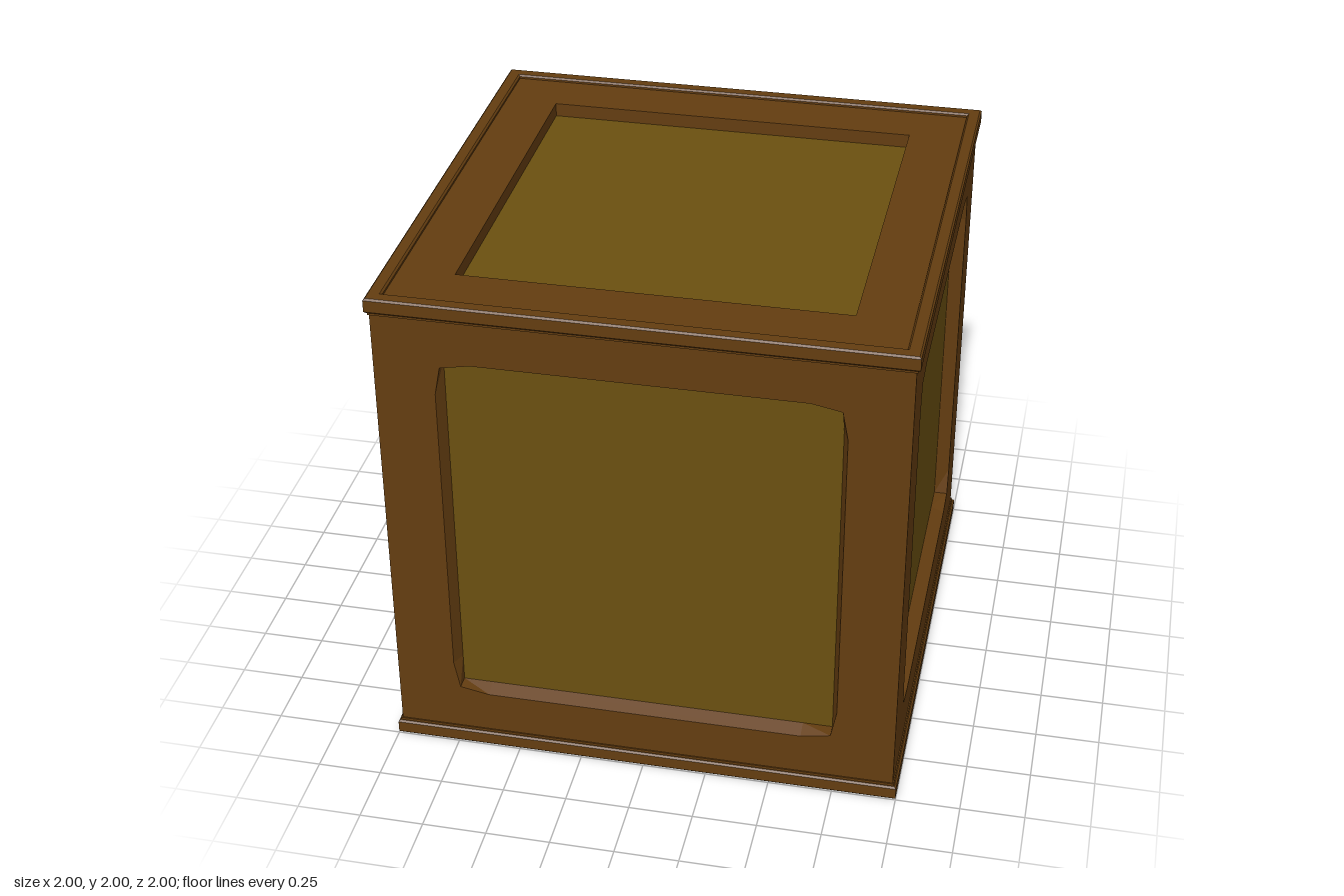
import * as THREE from 'three';

const wood = new THREE.MeshStandardMaterial({ color: 0x643d10, flatShading: true });
const panelWood = new THREE.MeshStandardMaterial({ color: 0x6b5010, flatShading: true });

const HALF = 0.735; // half width of every inset panel
const DEPTH = 0.055; // how far panels are sunk
const CUT = 0.62; // where the bowed opening edges start to turn in

// Twelve points counter-clockwise: straight edges at "edge", corners at "corner"
function outline(edge, corner) {
  const points = [];
  for (let i = 0; i < 4; i++) {
    const a = i * Math.PI / 2;
    for (const [x, y] of [[edge, CUT], [corner, corner], [CUT, edge]]) {
      points.push(new THREE.Vector2(x, y).rotateAround(new THREE.Vector2(), a));
    }
  }
  return points;
}

function square(h) {
  return [[-h, -h], [h, -h], [h, h], [-h, h]].map(([x, y]) => new THREE.Vector2(x, y));
}

// Sloping walls from the opening down to the panel
function wallGeometry(outer, inner) {
  const position = [], index = [], n = outer.length;
  outer.forEach((p, i) => {
    position.push(p.x, p.y, 0, inner[i].x, inner[i].y, -DEPTH);
    const a = 2 * i, b = 2 * ((i + 1) % n);
    index.push(a, b, a + 1, b, b + 1, a + 1);
  });
  const g = new THREE.BufferGeometry();
  g.setAttribute('position', new THREE.Float32BufferAttribute(position, 3));
  g.setIndex(index);
  const flat = g.toNonIndexed();
  flat.computeVertexNormals();
  return flat;
}

function add(parent, name, geometry, material) {
  const mesh = new THREE.Mesh(geometry, material);
  mesh.name = name;
  parent.add(mesh);
  return mesh;
}

// One crate face looking along +z: frame, recess walls and inset panel
function crateFace(name, half, openingEdge) {
  const face = new THREE.Group();
  face.name = name;
  const opening = outline(openingEdge, HALF);
  const frame = new THREE.Shape(square(half));
  frame.holes.push(new THREE.Path(opening));
  add(face, 'frame', new THREE.ShapeGeometry(frame), wood);
  add(face, 'recessWalls', wallGeometry(opening, outline(HALF, HALF)), wood);
  add(face, 'insetPanel', new THREE.PlaneGeometry(2 * HALF, 2 * HALF), panelWood).position.z = -DEPTH;
  return face;
}

// Bevelled square ring lying flat, starting at height y
function ring(outer, inner, height, bevel) {
  const shape = new THREE.Shape(square(outer - bevel));
  shape.holes.push(new THREE.Path(square(inner + bevel)));
  const g = new THREE.ExtrudeGeometry(shape, {
    depth: height - 2 * bevel, bevelEnabled: bevel > 0,
    bevelSize: bevel, bevelThickness: bevel, bevelSegments: 1,
  });
  g.translate(0, 0, bevel);
  g.rotateX(-Math.PI / 2);
  return g;
}

export function createModel() {
  const crate = new THREE.Group();
  crate.name = 'crate';

  // Four sides
  ['frontSide', 'leftSide', 'backSide', 'rightSide'].forEach((name, i) => {
    const side = crateFace(name, 0.985, 0.757);
    const a = i * Math.PI / 2;
    side.position.set(0.985 * Math.sin(a), 1, 0.985 * Math.cos(a));
    side.rotation.y = a;
    crate.add(side);
  });

  // Lid and base with straight openings, sunk slightly inside their rims
  const lid = crateFace('lid', 0.96, HALF);
  lid.position.y = 1.985;
  lid.rotation.x = -Math.PI / 2;
  const base = crateFace('base', 0.96, HALF);
  base.position.y = 0.015;
  base.rotation.x = Math.PI / 2;
  crate.add(lid, base);

  // Raised rims and the thin step beside each
  const rim = ring(1, 0.945, 0.06, 0.007);
  const step = ring(0.99, 0.95, 0.01, 0);
  add(crate, 'topRim', rim, wood).position.y = 1.94;
  add(crate, 'bottomRim', rim, wood);
  add(crate, 'topStep', step, wood).position.y = 1.93;
  add(crate, 'bottomStep', step, wood).position.y = 0.06;

  return crate;
}
